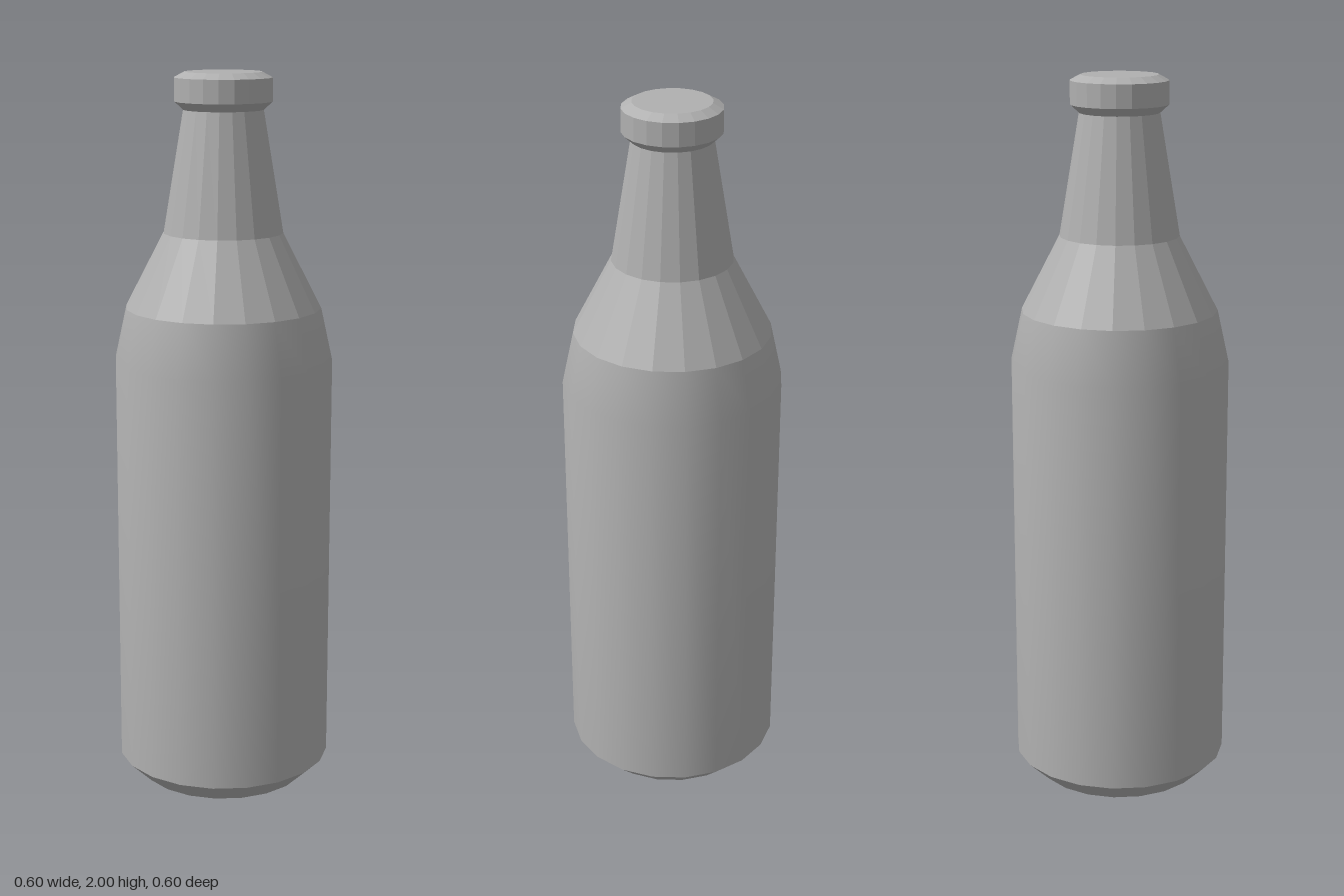
import * as THREE from 'three';
import { toCreasedNormals } from 'three/addons/utils/BufferGeometryUtils.js';

const SIDES = 20;

export function createModel() {
  const bottle = new THREE.Group();
  bottle.name = 'bottle';
  const grey = new THREE.MeshStandardMaterial({ color: 0xb0b0b0 });
  grey.name = 'grey';

  // Turned part from [radius, height] pairs, listed bottom to top
  function turned(name, profile, crease) {
    const points = profile.map(([r, y]) => new THREE.Vector2(r, y));
    const geometry = toCreasedNormals(new THREE.LatheGeometry(points, SIDES), crease);
    const mesh = new THREE.Mesh(geometry, grey);
    mesh.name = name;
    bottle.add(mesh);
  }

  // Flat base with a bevelled edge
  turned('base', [[0, 0], [0.24, 0], [0.302, 0.06]], 0.35);
  // Straight wall rounding smoothly into the shoulder
  turned('body', [[0.302, 0.06], [0.302, 1.22], [0.27, 1.365]], 0.5);
  // Faceted shoulder and tapering neck
  turned('shoulder', [[0.27, 1.365], [0.164, 1.57]], 0.1);
  turned('neck', [[0.164, 1.57], [0.109, 1.9]], 0.1);
  // Cap with bevelled rims and a closed top
  turned('cap', [[0.109, 1.9], [0.133, 1.922], [0.133, 1.985], [0.105, 2], [0, 2]], 0.1);

  return bottle;
}
